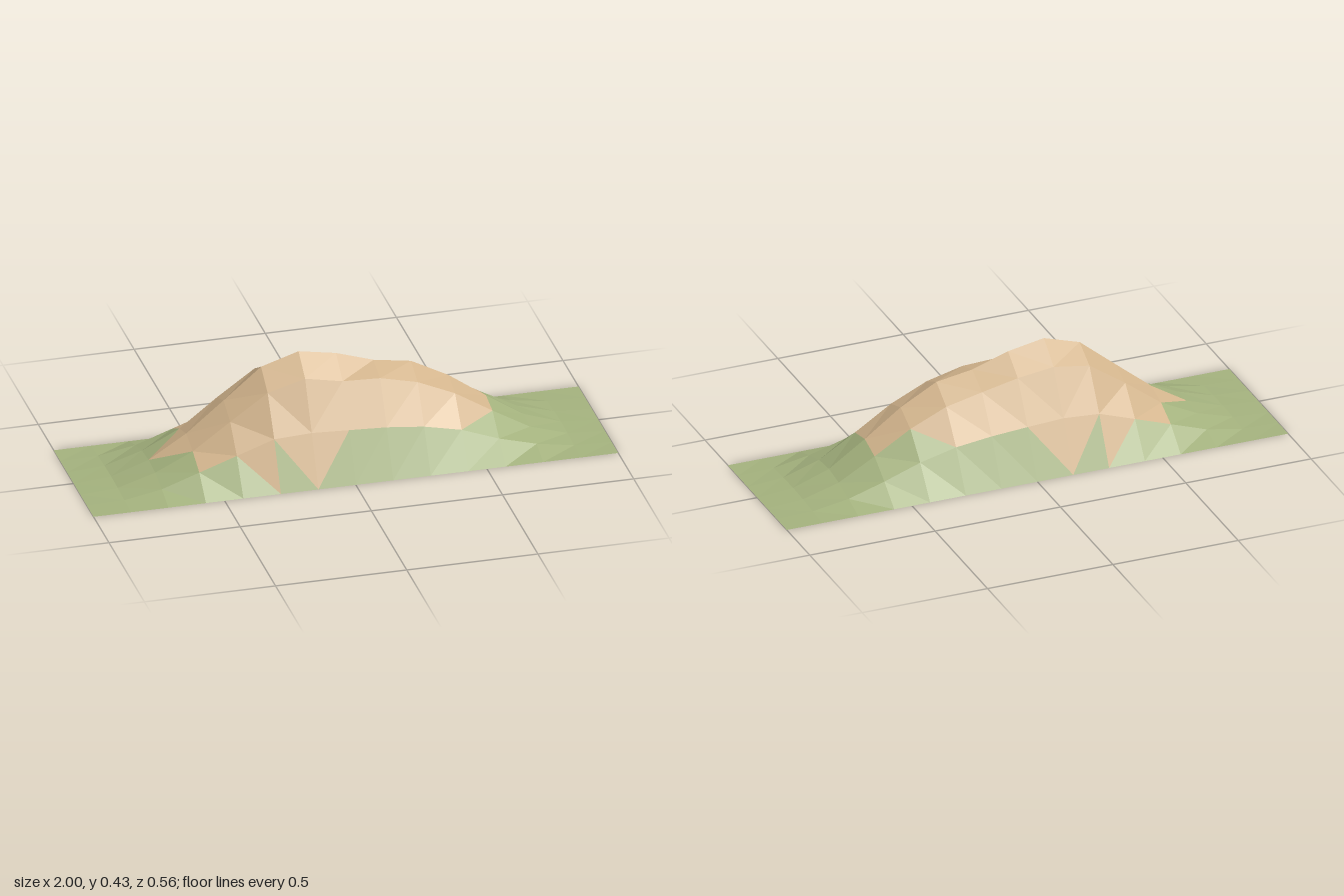
import * as THREE from 'three';

// Ground grid: 14 x 6 cells, with heights along x for each line of z, back to front
const COLS = 14, ROWS = 6, WIDTH = 2, DEPTH = 0.562;
const flat = new Array(COLS + 1).fill(0);
const heights = [
  flat,
  [0, 0.004, 0.03, 0.08, 0.13, 0.18, 0.19, 0.182, 0.172, 0.155, 0.12, 0.07, 0.027, 0.004, 0],
  [0, 0.009, 0.053, 0.125, 0.235, 0.335, 0.358, 0.34, 0.31, 0.278, 0.215, 0.13, 0.05, 0.009, 0],
  [0, 0.011, 0.06, 0.15, 0.268, 0.388, 0.433, 0.407, 0.36, 0.337, 0.26, 0.157, 0.062, 0.012, 0],
  [0, 0.009, 0.053, 0.122, 0.225, 0.325, 0.365, 0.336, 0.33, 0.295, 0.23, 0.14, 0.055, 0.01, 0],
  [0, 0.004, 0.03, 0.08, 0.13, 0.18, 0.187, 0.18, 0.173, 0.157, 0.125, 0.07, 0.03, 0.005, 0],
  flat,
];

// Bare earth per cell: 0 = grass, 1 = only the triangle nearer the peak, 2 = whole cell
const bare = [
  '00001110000000',
  '00022222210000',
  '00122222222000',
  '00122222222000',
  '00022222221000',
  '00001110000000',
];
const PEAK_COL = 6, PEAK_ROW = 3;

const point = (c, r) => new THREE.Vector3(
  (c / COLS - 0.5) * WIDTH, heights[r][c], (r / ROWS - 0.5) * DEPTH);

// Adds a triangle, ordered so that it faces up
function addTriangle(list, a, b, c) {
  const up = (b.z - a.z) * (c.x - a.x) - (b.x - a.x) * (c.z - a.z);
  list.push(...(up > 0 ? [a, b, c] : [a, c, b]));
}

function surface(name, points, material) {
  const geometry = new THREE.BufferGeometry().setFromPoints(points);
  geometry.computeVertexNormals();
  const mesh = new THREE.Mesh(geometry, material);
  mesh.name = name;
  return mesh;
}

export function createModel() {
  const options = { flatShading: true, side: THREE.DoubleSide };
  const grass = new THREE.MeshStandardMaterial({ name: 'grass green', color: 0xa3b17d, ...options });
  const earth = new THREE.MeshStandardMaterial({ name: 'earth tan', color: 0xd2b48c, ...options });

  const grassPoints = [], earthPoints = [];
  for (let r = 0; r < ROWS; r++) {
    for (let c = 0; c < COLS; c++) {
      // Cell diagonals run around the peak, like rings
      const [nearC, farC] = c < PEAK_COL ? [c + 1, c] : [c, c + 1];
      const [nearR, farR] = r < PEAK_ROW ? [r + 1, r] : [r, r + 1];
      const side1 = point(nearC, farR), side2 = point(farC, nearR);
      const kind = Number(bare[r][c]);
      addTriangle(kind >= 1 ? earthPoints : grassPoints, point(nearC, nearR), side1, side2);
      addTriangle(kind === 2 ? earthPoints : grassPoints, point(farC, farR), side1, side2);
    }
  }

  const hill = new THREE.Group();
  hill.name = 'hill';
  hill.add(surface('grassSlopes', grassPoints, grass), surface('bareSummit', earthPoints, earth));
  return hill;
}
